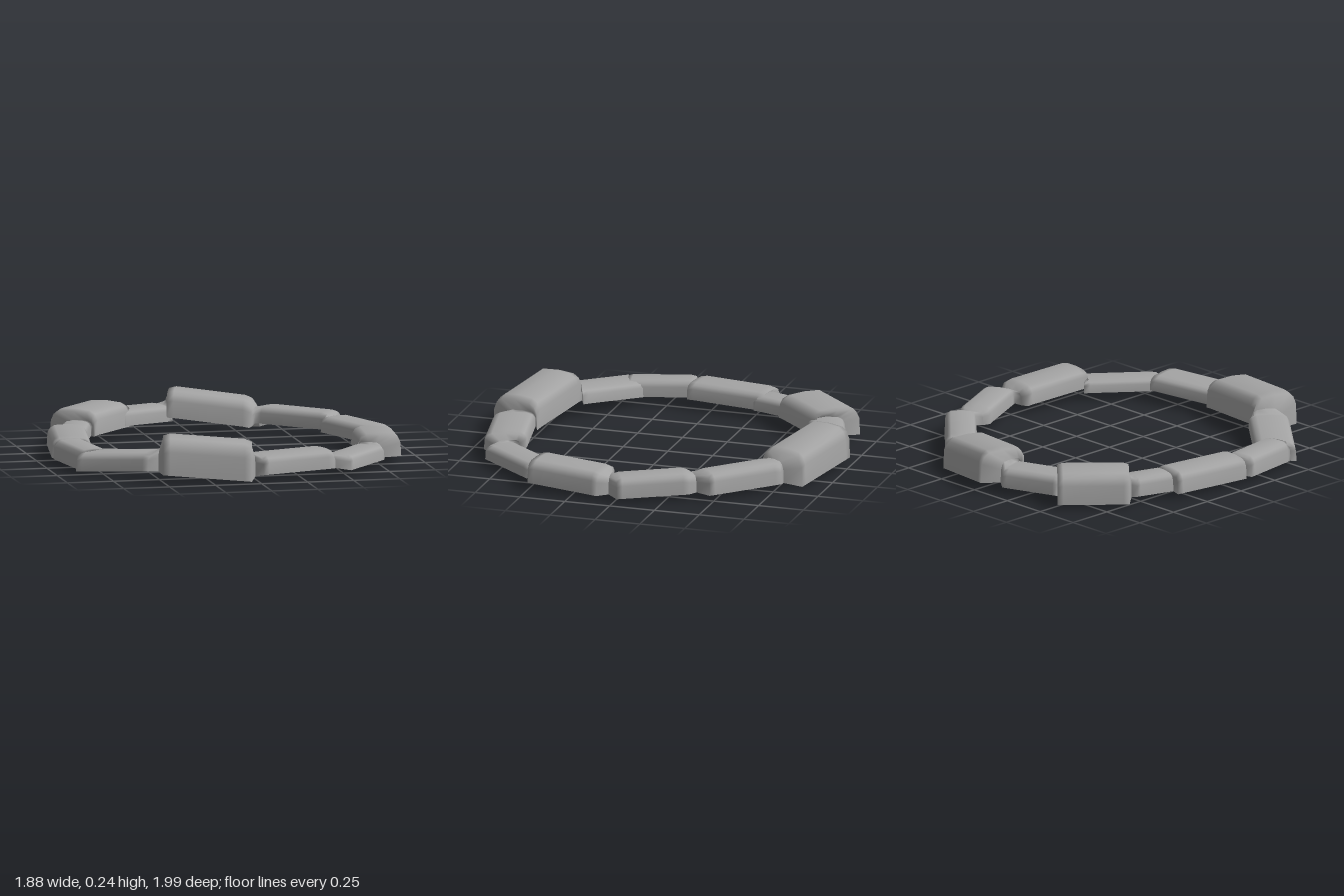
import * as THREE from 'three';

// One stone per row, clockwise from the back: name, outer edge start (x, z) and end (x, z),
// width, bottom and top height at the start, rise towards the end
const STONES = [
  ['backStone', -0.05, -1, 0.37, -0.87, 0.26, 0.05, 0.23, -0.05],
  ['backLeftStone', 0.45, -0.78, 0.76, -0.48, 0.17, 0.03, 0.145, 0],
  ['leftRearStone', 0.77, -0.37, 0.94, -0.02, 0.18, 0.03, 0.14, -0.01],
  ['leftFrontStone', 0.92, 0.1, 0.87, 0.5, 0.23, 0.02, 0.145, 0.02],
  ['frontLeftLink', 0.77, 0.54, 0.52, 0.85, 0.18, 0.03, 0.11, 0],
  ['frontLeftStone', 0.42, 0.89, 0.02, 0.97, 0.23, 0.05, 0.15, -0.01],
  ['frontStone', -0.05, 0.99, -0.51, 0.89, 0.27, 0.01, 0.21, 0.035],
  ['frontRightStone', -0.57, 0.78, -0.9, 0.51, 0.22, 0.05, 0.15, -0.03],
  ['rightFrontLink', -0.87, 0.5, -0.94, 0.14, 0.17, 0.02, 0.13, 0.01],
  ['rightStone', -0.94, 0.1, -0.87, -0.34, 0.21, 0.03, 0.145, 0],
  ['rightRearLink', -0.82, -0.31, -0.75, -0.52, 0.16, 0.03, 0.13, 0],
  ['backRightStone', -0.79, -0.62, -0.53, -0.9, 0.28, 0.02, 0.185, 0],
  ['backRightLink', -0.46, -0.84, -0.16, -0.95, 0.2, 0.04, 0.145, 0],
];

const SIDES = 8;
const lerp = THREE.MathUtils.lerp;

// Boxy arch from outer foot to inner foot; the inner foot sits a little higher
function archPoint(k) {
  const angle = Math.PI * k / SIDES, c = Math.cos(angle);
  const across = 0.5 - 0.5 * Math.sign(c) * Math.sqrt(Math.abs(c));
  return [across, lerp(0.2 * across, 1, Math.sqrt(Math.sin(angle)))];
}

// Cross-section of a stone at fraction s of its length
function section([, x0, z0, x1, z1, width, low, high, rise], s, scale) {
  const length = Math.hypot(x1 - x0, z1 - z0);
  const inX = (z0 - z1) / length * width, inZ = (x1 - x0) / length * width;
  return Array.from({ length: SIDES + 1 }, (_, k) => {
    const [across, up] = archPoint(k);
    return new THREE.Vector3(
      lerp(x0, x1, s) + inX * across,
      low + rise * s + (high - low) * scale * up,
      lerp(z0, z1, s) + inZ * across);
  });
}

// Pinched neck halfway between two neighbours: drawn in from the outside and lowered
function neck(before, after) {
  const a = section(before, 1, 0.8), b = section(after, 0, 0.8);
  const middle = a.map((p, k) => p.clone().lerp(b[k], 0.5));
  const inner = middle[SIDES];
  return middle.map((p) => new THREE.Vector3(lerp(p.x, inner.x, 0.3), p.y, lerp(p.z, inner.z, 0.3)));
}

// Smooth shell, open underneath, running from neck to neck
function stoneGeometry(before, stone, after) {
  const loops = [
    neck(before, stone),
    section(stone, 0, 0.93),
    section(stone, 0.08, 1),
    section(stone, 0.5, 1),
    section(stone, 0.92, 1),
    section(stone, 1, 0.93),
    neck(stone, after),
  ];
  const index = [], n = SIDES + 1;
  for (let s = 0; s < loops.length - 1; s++) {
    for (let k = 0; k < SIDES; k++) {
      const a = s * n + k, b = a + n;
      index.push(a, a + 1, b, b, a + 1, b + 1);
    }
  }
  const geometry = new THREE.BufferGeometry().setFromPoints(loops.flat());
  geometry.setIndex(index);
  geometry.computeVertexNormals();
  return geometry;
}

export function createModel() {
  const group = new THREE.Group();
  group.name = 'stoneRing';
  const material = new THREE.MeshStandardMaterial({ color: 0xa4a4a4, side: THREE.DoubleSide });
  STONES.forEach((stone, i) => {
    const before = STONES.at(i - 1), after = STONES[(i + 1) % STONES.length];
    const mesh = new THREE.Mesh(stoneGeometry(before, stone, after), material);
    mesh.name = stone[0];
    group.add(mesh);
  });
  return group;
}
